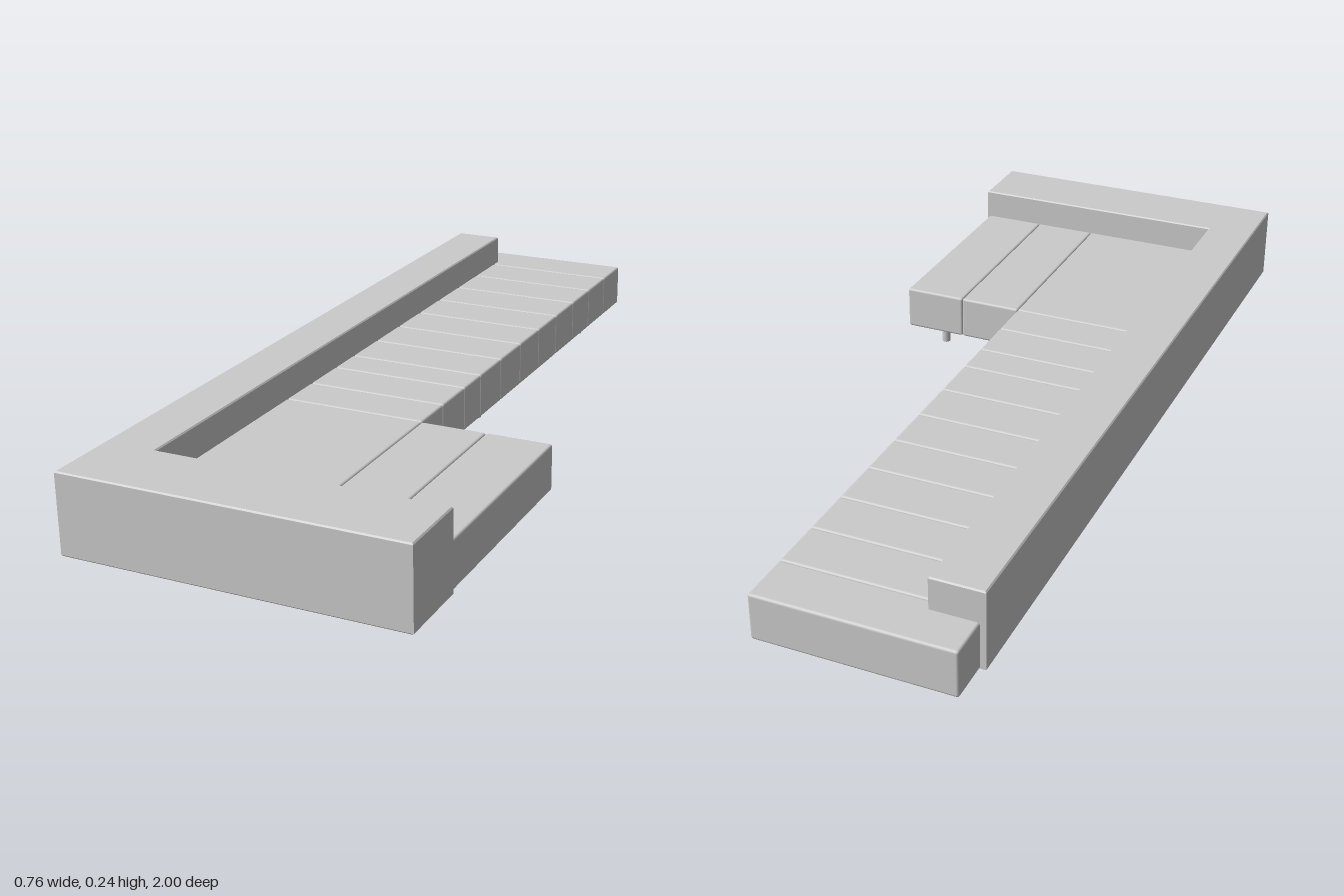
import * as THREE from 'three';
import { RoundedBoxGeometry } from 'three/addons/geometries/RoundedBoxGeometry.js';

export function createModel() {
  const group = new THREE.Group();
  const material = new THREE.MeshStandardMaterial({ color: 0xcccccc });
  const add = (name, geometry, x = 0, y = 0, z = 0) => {
    const mesh = new THREE.Mesh(geometry, material);
    mesh.name = name;
    mesh.position.set(x, y, z);
    group.add(mesh);
  };

  // L-shaped backrest and arm, extruded upwards with a fine bevel
  const outline = [[-0.383, 0.905], [-0.383, -1], [0.381, -1], [0.381, -0.83], [-0.265, -0.83], [-0.265, 0.905]];
  const bevel = 0.003, bottom = 0.057, top = 0.238;
  const back = new THREE.ExtrudeGeometry(new THREE.Shape(outline.map(([x, y]) => new THREE.Vector2(x, y))), {
    depth: top - bottom - 2 * bevel, bevelThickness: bevel, bevelSize: bevel, bevelOffset: -bevel, bevelSegments: 1,
  });
  back.rotateX(-Math.PI / 2);
  add('backrest', back, 0, bottom + bevel, 0);

  // Seat cushions with softly rounded edges
  const cushion = (name, x0, x1, z0, z1) => add(name,
    new RoundedBoxGeometry(x1 - x0, 0.106, z1 - z0, 2, 0.006),
    (x0 + x1) / 2, 0.112, (z0 + z1) / 2);

  // Row of narrow cushions along the long side
  const seams = [-1, -0.877, -0.753, -0.63, -0.506, -0.383, -0.26, -0.136, -0.013, 0.08, 0.198, 0.31];
  for (let i = 0; i < seams.length - 1; i++) cushion('seatCushion', -0.37, 0.07, seams[i], seams[i + 1]);

  // Wide corner seat and the two chaise cushions beside it
  cushion('cornerCushion', -0.37, 0.07, 0.31, 0.85);
  cushion('chaiseCushion', 0.07, 0.223, 0.31, 0.85);
  cushion('chaiseCushion', 0.223, 0.376, 0.31, 0.85);

  // Short round legs
  const leg = new THREE.CylinderGeometry(0.0105, 0.0105, 0.045, 16);
  const legRows = [[0.775, [-0.3, 0, 0.3]], [0.375, [-0.3, 0, 0.3]], [-0.15, [-0.3, 0]], [-0.862, [-0.3, 0]]];
  for (const [z, xs] of legRows) for (const x of xs) add('leg', leg, x, 0.0225, z);

  return group;
}
